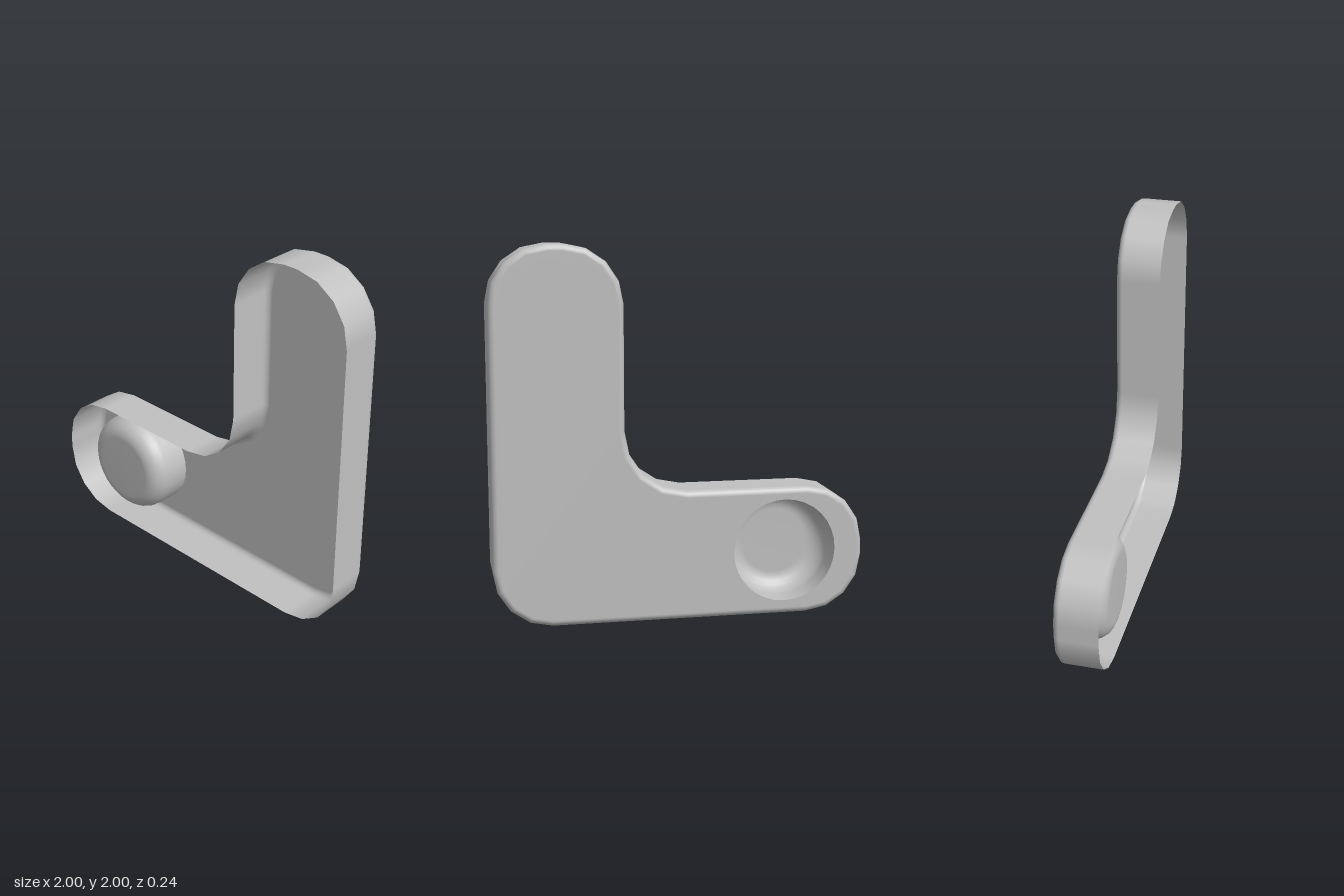
import * as THREE from 'three';

const BACK = -0.12, FRONT = 0.12, EDGE = 0.035;
const DIMPLE = { x: -0.565, y: 0.355, r: 0.28, top: 0.11, round: 0.1 };

// Corner arcs of the L, counter-clockwise: centre, radius, start angle, turn (+1 outer, -1 inner)
const CORNERS = [
  [-0.69, 0.31, 0.31, 180, 1],
  [0.69, 0.31, 0.31, 270, 1],
  [0.69, 1.69, 0.31, 0, 1],
  [0.61, 1.69, 0.31, 90, 1],
  [-0.03, 1.03, 0.33, 0, -1],
  [-0.69, 0.39, 0.31, 90, 1],
];

// Outline points with outward directions, moved inwards by inset
function outline(inset) {
  const points = [];
  for (const [cx, cy, r, start, turn] of CORNERS) {
    for (let i = 0; i <= 4; i++) {
      const a = THREE.MathUtils.degToRad(start + turn * i * 22.5);
      const rad = r - turn * inset;
      points.push({
        x: cx + rad * Math.cos(a), y: cy + rad * Math.sin(a),
        nx: turn * Math.cos(a), ny: turn * Math.sin(a),
      });
    }
  }
  return points;
}

// Side wall, curling into the back plate with a rounded edge
function wallGeometry() {
  const rings = [{ inset: 0, z: FRONT, a: 0 }];
  for (let i = 0; i <= 5; i++) {
    const a = (i / 5) * Math.PI / 2;
    rings.push({ inset: EDGE * (1 - Math.cos(a)), z: BACK + EDGE * (1 - Math.sin(a)), a });
  }
  const position = [], normal = [], index = [];
  rings.forEach(({ inset, z, a }, k) => {
    const pts = outline(inset), n = pts.length;
    pts.forEach((p, i) => {
      position.push(p.x, p.y, z);
      normal.push(p.nx * Math.cos(a), p.ny * Math.cos(a), -Math.sin(a));
      if (k === rings.length - 1) return;
      const j = (i + 1) % n, u = k * n, v = u + n;
      index.push(u + i, v + i, u + j, u + j, v + i, v + j);
    });
  });
  const g = new THREE.BufferGeometry();
  g.setAttribute('position', new THREE.Float32BufferAttribute(position, 3));
  g.setAttribute('normal', new THREE.Float32BufferAttribute(normal, 3));
  g.setIndex(index);
  return g;
}

// Flat back plate with a round opening for the dimple
function plateGeometry() {
  const shape = new THREE.Shape(outline(EDGE).map(p => new THREE.Vector2(p.x, p.y)));
  const hole = [];
  for (let i = 0; i < 32; i++) {
    const a = (i / 32) * Math.PI * 2;
    hole.push(new THREE.Vector2(DIMPLE.x + DIMPLE.r * Math.cos(a), DIMPLE.y + DIMPLE.r * Math.sin(a)));
  }
  shape.holes.push(new THREE.Path(hole));
  return new THREE.ShapeGeometry(shape).translate(0, 0, BACK);
}

// Round dimple pushed forward from the back plate
function dimpleGeometry() {
  const { r, top, round } = DIMPLE;
  const profile = [new THREE.Vector2(r, BACK)];
  for (let i = 0; i <= 6; i++) {
    const a = (i / 6) * Math.PI / 2;
    profile.push(new THREE.Vector2(r - round + round * Math.cos(a), top - round + round * Math.sin(a)));
  }
  profile.push(new THREE.Vector2(0, top));
  return new THREE.LatheGeometry(profile, 32).rotateX(Math.PI / 2).translate(DIMPLE.x, DIMPLE.y, 0);
}

export function createModel() {
  const grey = new THREE.MeshStandardMaterial({ color: 0xc0c0c0, side: THREE.DoubleSide });
  grey.name = 'light grey';
  const group = new THREE.Group();
  group.name = 'hollowBracket';
  const parts = { sideWall: wallGeometry(), backPlate: plateGeometry(), roundDimple: dimpleGeometry() };
  for (const [name, geometry] of Object.entries(parts)) {
    const mesh = new THREE.Mesh(geometry, grey);
    mesh.name = name;
    group.add(mesh);
  }
  return group;
}
